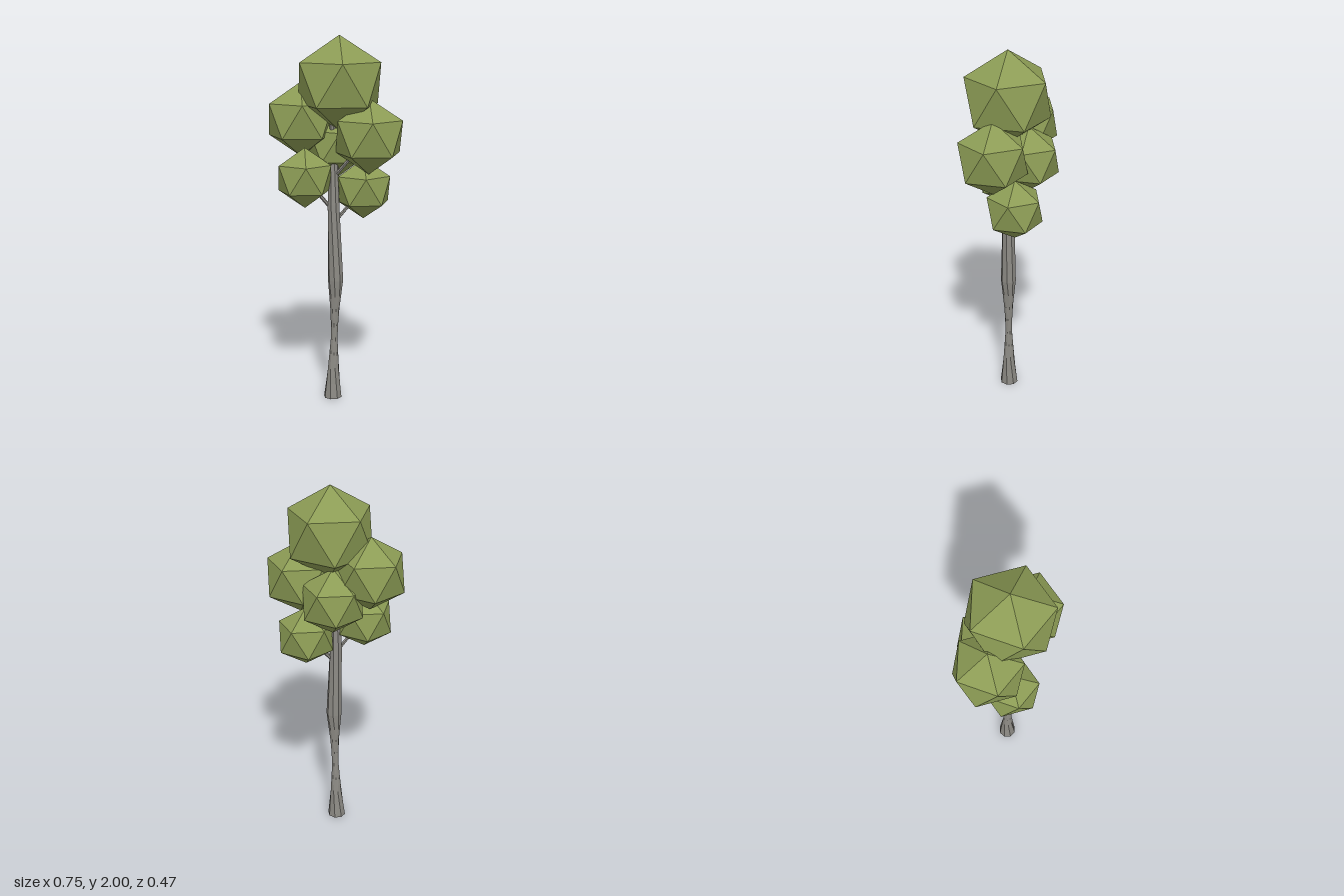
import * as THREE from 'three';

const barkMat = new THREE.MeshStandardMaterial({ color: 0x8c8a84, flatShading: true, side: THREE.DoubleSide });
const leafMat = new THREE.MeshStandardMaterial({ color: 0x8c9c55, flatShading: true });

// Twisted trunk: straight lines join rotated rings, pinching it at the waist
function trunkGeometry() {
  const sides = 8, rows = 8;
  // y, centre x, centre z, radius, twist in degrees
  const rings = [
    [0, -0.01, 0.025, 0.05, 0],
    [0.68, 0.006, 0.024, 0.042, 130],
    [1.1, -0.005, 0.025, 0.034, 145],
    [1.3, -0.005, 0.02, 0.025, 155],
    [1.58, -0.01, 0.015, 0.018, 165],
  ];
  const corner = ([y, x, z, r, twist], i) => {
    const a = (i / sides) * Math.PI * 2 + THREE.MathUtils.degToRad(twist);
    return new THREE.Vector3(x + r * Math.cos(a), y, z + r * Math.sin(a));
  };
  const pos = [], idx = [];
  for (let k = 0; k < rings.length - 1; k++)
    for (let j = k ? 1 : 0; j <= rows; j++)
      for (let i = 0; i < sides; i++)
        pos.push(...corner(rings[k], i).lerp(corner(rings[k + 1], i), j / rows));
  const count = pos.length / 3 / sides;
  for (let j = 0; j < count - 1; j++)
    for (let i = 0; i < sides; i++) {
      const a = j * sides + i, b = j * sides + (i + 1) % sides;
      idx.push(a, a + sides, b, b, a + sides, b + sides);
    }
  // Caps
  const top = (count - 1) * sides;
  for (let i = 1; i < sides - 1; i++) idx.push(0, i, i + 1, top, top + i + 1, top + i);
  const g = new THREE.BufferGeometry();
  g.setAttribute('position', new THREE.Float32BufferAttribute(pos, 3));
  g.setIndex(idx);
  g.computeVertexNormals();
  return g;
}

// Straight tapered branch between two points
function branch(from, to) {
  const a = new THREE.Vector3(...from), b = new THREE.Vector3(...to);
  const dir = b.clone().sub(a);
  const mesh = new THREE.Mesh(new THREE.CylinderGeometry(0.007, 0.011, dir.length(), 6), barkMat);
  mesh.position.copy(a).add(b).multiplyScalar(0.5);
  mesh.quaternion.setFromUnitVectors(new THREE.Vector3(0, 1, 0), dir.normalize());
  return mesh;
}

export function createModel() {
  const tree = new THREE.Group();
  tree.name = 'tree';

  const trunk = new THREE.Mesh(trunkGeometry(), barkMat);
  trunk.name = 'trunk';
  tree.add(trunk);

  // Foliage clumps: name, x, y, z, radius, height where the branch leaves the trunk
  const clumps = [
    ['crown', 0.025, 1.75, 0.02, 0.25, 1.5],
    ['upperRight', -0.195, 1.55, -0.013, 0.2, 1.3],
    ['upperLeft', 0.194, 1.477, 0.055, 0.2, 1.25],
    ['back', -0.01, 1.41, -0.083, 0.18, 1.2],
    ['lowerRight', -0.147, 1.25, 0.09, 0.163, 1.06],
    ['lowerLeft', 0.143, 1.18, -0.047, 0.164, 1.0],
  ];
  // Icosahedron standing on a corner
  const leafGeo = new THREE.IcosahedronGeometry(1, 0);
  leafGeo.rotateZ(-Math.atan(2 / (1 + Math.sqrt(5))));
  for (const [name, x, y, z, r, start] of clumps) {
    const clump = new THREE.Mesh(leafGeo, leafMat);
    clump.name = name + 'Foliage';
    clump.position.set(x, y, z);
    clump.scale.setScalar(r);
    const limb = branch([-0.003, start, 0.022], [x, y, z]);
    limb.name = name + 'Branch';
    tree.add(clump, limb);
  }
  return tree;
}
